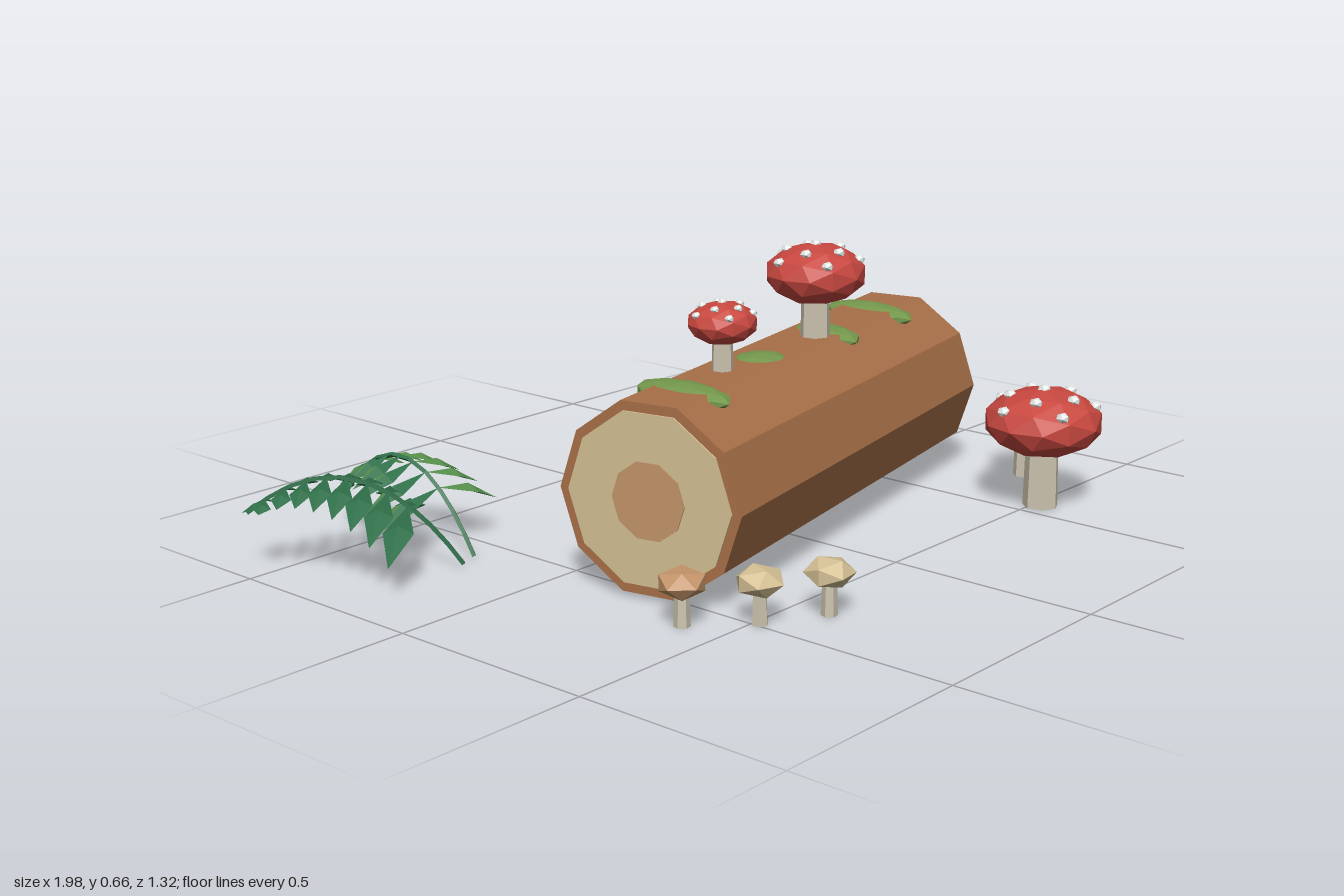
import * as THREE from 'three';

const mat = (name, color, side = THREE.FrontSide) =>
  Object.assign(new THREE.MeshStandardMaterial({ color, side, flatShading: true }), { name });

export function createModel() {
  const M = {
    bark: mat('bark brown', 0xa87048),
    wood: mat('pale wood', 0xd4c094),
    core: mat('heartwood', 0xc4956a),
    red: mat('cap red', 0xc84840),
    stem: mat('stem cream', 0xcdc4b0),
    spot: mat('spot white', 0xe2e8e4),
    moss: mat('moss green', 0x74984c),
    fernDark: mat('fern dark green', 0x30704a, THREE.DoubleSide),
    fernLight: mat('fern light green', 0x5a9650, THREE.DoubleSide),
    grass: mat('grass green', 0x84b054, THREE.DoubleSide),
  };
  const root = new THREE.Group();
  root.name = 'fallenLog';
  const V = (x, y, z) => new THREE.Vector3(x, y, z);

  const add = (parent, name, geo, material, x = 0, y = 0, z = 0) => {
    const m = new THREE.Mesh(geo, material);
    m.name = name;
    m.position.set(x, y, z);
    parent.add(m);
    return m;
  };
  const group = (name, x, y, z, turn = 0) => {
    const g = new THREE.Group();
    g.name = name;
    g.position.set(x, y, z);
    g.rotation.y = turn;
    root.add(g);
    return g;
  };

  // Ten-sided log lying along x, with cut faces at both ends
  const log = group('log', 0.065, 0.22, 0.127, 0.205);
  const drum = (r, len) => new THREE.CylinderGeometry(r, r, len, 10).rotateZ(Math.PI / 2);
  add(log, 'bark', drum(0.22, 1.225), M.bark);
  for (const s of [-1, 1]) {
    add(log, 'cutFace', drum(0.198, 0.008), M.wood, s * 0.6125);
    add(log, 'heartwood', drum(0.088, 0.008), M.core, s * 0.615);
  }

  // Moss pads sunk into the top of the log: x, z, half width, half depth
  for (const [x, z, w, d] of [
    [-0.38, 0.21, 0.06, 0.13], [-0.07, 0.165, 0.08, 0.075],
    [0.24, 0.1, 0.07, 0.1], [0.515, 0.03, 0.06, 0.13],
  ]) {
    const pad = add(root, 'moss', new THREE.IcosahedronGeometry(1, 1), M.moss, x, 0.412, z);
    pad.scale.set(w, 0.027, d);
  }

  // Red spotted mushrooms: x, base y, z, cap radius, cap centre y, cap half height, stem radius
  const spots = [[0, 0]];
  for (let i = 0; i < 5; i++) spots.push([0.62, i * 1.257 + 0.3], [1.05, i * 1.257 + 0.95]);
  for (const [x, y0, z, r, cy, h, sr] of [
    [0.175, 0.41, 0.128, 0.12, 0.578, 0.072, 0.036],
    [-0.215, 0.41, 0.178, 0.079, 0.535, 0.048, 0.025],
    [0.562, 0, 0.518, 0.144, 0.21, 0.082, 0.043],
    [0.752, 0, 0.348, 0.079, 0.134, 0.049, 0.027],
  ]) {
    const g = group('redMushroom', x, 0, z);
    const len = cy - y0;
    add(g, 'stem', new THREE.CylinderGeometry(sr * 0.9, sr, len, 7), M.stem, 0, y0 + len / 2);
    add(g, 'cap', new THREE.IcosahedronGeometry(1, 1).scale(r, h, r), M.red, 0, cy);
    for (const [polar, a] of spots) {
      const p = V(Math.sin(polar) * Math.cos(a), Math.cos(polar), Math.sin(polar) * Math.sin(a));
      const k = 0.96;
      const spot = add(g, 'spot', new THREE.IcosahedronGeometry(0.09 * r + 0.004, 0), M.spot,
        p.x * r * k, cy + p.y * h * k, p.z * r * k);
      spot.scale.y = 0.8;
    }
  }

  // Small plain mushrooms on the ground
  for (const [x, z, cap] of [
    [-0.602, 0.402, M.core], [-0.49, 0.515, M.wood], [-0.355, 0.59, M.wood],
    [0.288, -0.32, M.wood], [0.418, -0.263, M.wood],
  ]) {
    const g = group('smallMushroom', x, 0, z, x * 4);
    add(g, 'stem', new THREE.CylinderGeometry(0.015, 0.018, 0.09, 6), M.stem, 0, 0.045);
    add(g, 'cap', new THREE.IcosahedronGeometry(1, 0).scale(0.056, 0.034, 0.056), cap, 0, 0.094);
  }

  // Folded leaf: each half is two triangles around a raised midrib
  const leafHalf = (out, base, tip, width, rise, side) => {
    const across = V(tip.z - base.z, 0, base.x - tip.x).normalize().multiplyScalar(width * side);
    const rib = base.clone().lerp(tip, 0.5);
    rib.y += rise;
    const edge = rib.clone().add(across);
    edge.y -= width * 0.5;
    const order = side > 0 ? [base, edge, rib, rib, edge, tip] : [base, rib, edge, rib, tip, edge];
    for (const p of order) out.push(p.x, p.y, p.z);
  };
  const surface = (points) => {
    const g = new THREE.BufferGeometry();
    g.setAttribute('position', new THREE.Float32BufferAttribute(points, 3));
    g.computeVertexNormals();
    return g;
  };

  // Fern fronds: leaflets in shrinking pairs along an arching rib
  const frond = (a, b, c, halfA, halfB) => {
    const g = group('fernFrond', 0, 0, 0);
    const curve = new THREE.QuadraticBezierCurve3(a, b, c);
    add(g, 'rib', new THREE.TubeGeometry(curve, 10, 0.006, 4), M.fernDark);
    const dir = c.clone().sub(a).setY(0).normalize();
    const perp = V(-dir.z, 0, dir.x);
    const one = [], two = [];
    const leaf = (base, tip, w, rise) => {
      leafHalf(one, base, tip, w, rise, 1);
      leafHalf(two, base, tip, w, rise, -1);
    };
    const pairs = 8;
    for (let i = 0; i < pairs; i++) {
      const t = 0.26 + (i / (pairs - 1)) * 0.66;
      const base = curve.getPoint(t);
      const len = 0.2 - (i / (pairs - 1)) * 0.15;
      for (const s of [-1, 1]) {
        const tip = base.clone().addScaledVector(perp, s * len).addScaledVector(dir, len * 0.1);
        tip.y = Math.max(0.03, tip.y - len * 0.38);
        leaf(base, tip, 0.016 + len * 0.09, len * 0.12);
      }
    }
    const end = curve.getPoint(0.92);
    leaf(end, c.clone().addScaledVector(dir, 0.012), 0.02, 0.006);
    add(g, 'leafletHalves', surface(one), halfA);
    add(g, 'leafletHalves', surface(two), halfB);
  };
  frond(V(-0.65, 0.01, -0.2), V(-0.8, 0.34, -0.36), V(-0.96, 0.13, -0.55), M.fernDark, M.fernDark);
  frond(V(-0.6, 0.01, -0.22), V(-0.61, 0.36, -0.42), V(-0.61, 0.07, -0.65), M.fernDark, M.fernLight);

  // Spiky grass tuft: tip positions around one root
  const tuft = [];
  const foot = V(0.855, 0.005, -0.2);
  for (const [x, y, z] of [
    [0.8, 0.11, -0.36], [0.95, 0.13, -0.3], [1.0, 0.08, -0.19], [0.95, 0.11, -0.12],
    [0.88, 0.07, -0.045], [0.73, 0.08, -0.08], [0.73, 0.1, -0.24],
  ]) {
    for (const s of [1, -1]) leafHalf(tuft, foot, V(x, y, z), 0.026, 0.02, s);
  }
  add(root, 'grassTuft', surface(tuft), M.grass);

  return root;
}
